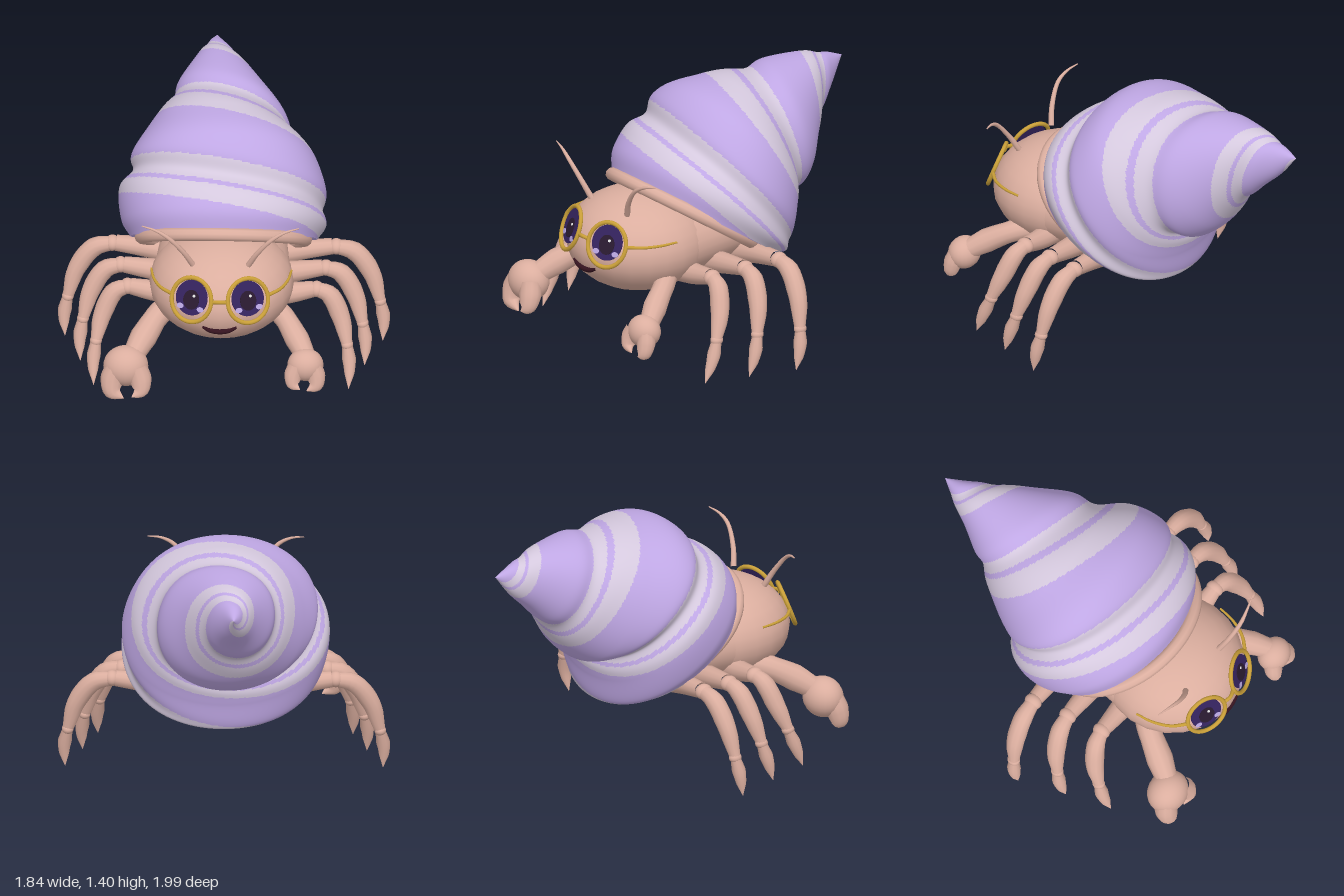
import * as THREE from 'three';

const V = (x, y, z) => new THREE.Vector3(x, y, z);
const mat = (name, color, side = THREE.FrontSide) => {
  const m = new THREE.MeshStandardMaterial({ color, side });
  m.name = name;
  return m;
};

export function createModel() {
  const skin = mat('skin', 0xdbae9f);
  const purple = mat('shellPurple', 0xbfa7e4, THREE.DoubleSide);
  const pale = mat('shellPale', 0xd4c8dd, THREE.DoubleSide);
  const gold = mat('gold', 0xc99f38);
  const eyePurple = mat('eyePurple', 0x35235f);
  const pupilDark = mat('pupilDark', 0x2a1a30);
  const eyeLight = mat('eyeLight', 0xb9a6e0);
  const white = mat('white', 0xffffff);
  const mouthDark = mat('mouthDark', 0x35131f);

  const model = new THREE.Group();
  const add = (name, geo, material, parent = model) => {
    const mesh = new THREE.Mesh(geo, material);
    mesh.name = name;
    parent.add(mesh);
    return mesh;
  };
  // Tube through points whose radius follows a list along its length
  const limb = (points, radii, sides = 12, steps = 16) => {
    const curve = new THREE.CatmullRomCurve3(points);
    const geo = new THREE.TubeGeometry(curve, steps, 1, sides);
    const pos = geo.attributes.position, p = V();
    for (let i = 0; i < pos.count; i++) {
      const t = Math.floor(i / (sides + 1)) / steps;
      const f = t * (radii.length - 1), k = Math.min(Math.floor(f), radii.length - 2);
      const r = THREE.MathUtils.lerp(radii[k], radii[k + 1], f - k);
      const c = curve.getPointAt(t);
      p.fromBufferAttribute(pos, i).sub(c).multiplyScalar(r).add(c);
      pos.setXYZ(i, p.x, p.y, p.z);
    }
    return geo;
  };
  const ball = (name, c, r, material, parent) => {
    const m = add(name, new THREE.SphereGeometry(1, 24, 16), material, parent);
    m.position.copy(c);
    m.scale.copy(r);
    return m;
  };

  // Shell: tilted oval sections from rim to tip, with a spiral groove and stripes
  // top z, top y, bottom z, bottom y, half width, centre x, turns
  const sections = [
    [0.51, 0.94, -0.28, 0.39, 0.52, 0, 0.43],
    [0.47, 1.08, -0.335, 0.405, 0.57, 0, 0.63],
    [0.31, 1.22, -0.365, 0.55, 0.575, -0.01, 1.0],
    [0.12, 1.375, -0.40, 0.65, 0.515, -0.01, 1.45],
    [-0.12, 1.4, -0.48, 0.68, 0.43, -0.02, 1.75],
    [-0.35, 1.4, -0.57, 0.76, 0.345, -0.02, 2.04],
    [-0.55, 1.4, -0.66, 0.89, 0.25, -0.04, 2.4],
    [-0.75, 1.38, -0.78, 1.04, 0.145, -0.055, 2.8],
    [-0.88, 1.34, -0.90, 1.16, 0.07, -0.07, 3.15],
    [-1.0, 1.29, -1.0, 1.29, 0, -0.07, 3.5],
  ];
  const track = f => new THREE.CatmullRomCurve3(sections.map(f), false, 'catmullrom', 0.5);
  const topLine = track(s => V(0, s[1], s[0]));
  const lowLine = track(s => V(0, s[3], s[2]));
  const widthLine = track(s => V(s[4], s[5], s[6]));
  const NS = 260, NT = 150, verts = [], faces = [[], []];
  for (let i = 0; i <= NS; i++) {
    const s = i / NS;
    const a = topLine.getPoint(s), b = lowLine.getPoint(s), w = widthLine.getPoint(s);
    const mid = a.clone().add(b).multiplyScalar(0.5), half = a.clone().sub(b).multiplyScalar(0.5);
    const paleEnd = THREE.MathUtils.lerp(0.14, 0.03, THREE.MathUtils.smoothstep(s, 0.25, 0.55));
    for (let j = 0; j < NT; j++) {
      const th = j / NT * Math.PI * 2, phase = w.z + j / NT;
      const d = phase - Math.round(phase);
      const groove = 0.09 * THREE.MathUtils.smoothstep(s, 0.08, 0.22) * Math.exp(-((d / 0.13) ** 2));
      const m = 1 + 0.02 * Math.sin(2 * th) ** 2 - groove;
      const c = Math.cos(th) * m;
      verts.push(w.y + Math.sin(th) * w.x * m, mid.y + half.y * c, mid.z + half.z * c);
      if (i === NS) continue;
      const f = phase - Math.floor(phase);
      const isPale = f < paleEnd || (f > 0.67 && f < 0.85) || f > 0.9;
      const p = i * NT + j, q = i * NT + (j + 1) % NT;
      faces[isPale ? 1 : 0].push(p, q, p + NT, q, q + NT, p + NT);
    }
  }
  const shellGeo = new THREE.BufferGeometry();
  shellGeo.setAttribute('position', new THREE.Float32BufferAttribute(verts, 3));
  shellGeo.setIndex([...faces[0], ...faces[1]]);
  shellGeo.addGroup(0, faces[0].length, 0);
  shellGeo.addGroup(faces[0].length, faces[1].length, 1);
  shellGeo.computeVertexNormals();
  add('shell', shellGeo, [purple, pale]);

  // Shell opening: closing disc and rounded collar
  const opening = add('shellOpening', new THREE.CircleGeometry(1, 48), purple);
  opening.position.set(0, 0.665, 0.115);
  opening.rotation.x = 0.96;
  opening.scale.set(0.52, 0.48, 1);
  const collarPts = [];
  for (let i = 0; i < 24; i++) {
    const a = i / 24 * Math.PI * 2;
    collarPts.push(V(0.455 * Math.cos(a), 0.71 + 0.24 * Math.sin(a), 0.195 + 0.345 * Math.sin(a)));
  }
  add('shellCollar', new THREE.TubeGeometry(new THREE.CatmullRomCurve3(collarPts, true), 64, 0.037, 10, true), skin);

  // Head and rear body
  ball('head', V(0, 0.635, 0.52), V(0.4, 0.28, 0.4), skin);
  const body = add('body', new THREE.CylinderGeometry(0.385, 0.33, 0.62, 32), skin);
  body.rotation.x = Math.PI / 2;
  body.scale.z = 0.66;
  body.position.set(0, 0.635, 0.18);

  for (const side of [1, -1]) {
    const tag = side > 0 ? 'left' : 'right';
    const P = (x, y, z) => V(side * x, y, z);

    // Three walking legs, rear to front
    [[0.02, 0.09, 1], [0.22, 0.15, 0.84], [0.42, 0.2, 0.7]].forEach(([z, lean, k], i) => {
      const leg = new THREE.Group();
      leg.name = tag + 'Leg' + (i + 1);
      model.add(leg);
      const L = (x, y, t) => P(0.3 + (x - 0.3) * k, y, z + lean * t);
      const dy = 0.015 * i;
      add('upperLeg', limb([L(0.2, 0.49, 0), L(0.42, 0.535 - dy, 0), L(0.6, 0.56 - dy, 0)], [0.07, 0.06, 0.045]), skin, leg);
      ball('knee', L(0.62, 0.56 - dy, 0), V(0.042, 0.044, 0.05), skin, leg);
      add('middleLeg', limb([L(0.61, 0.56 - dy, 0), L(0.72, 0.535 - dy, 0.08), L(0.815, 0.41 - dy, 0.28), L(0.865, 0.24, 0.55)],
        [0.038, 0.053, 0.054, 0.046, 0.03]), skin, leg);
      ball('ankle', L(0.865, 0.24, 0.54), V(0.033, 0.03, 0.037), skin, leg);
      add('legTip', limb([L(0.865, 0.245, 0.53), L(0.885, 0.13, 0.75), L(0.88, 0.005, 1)], [0.027, 0.039, 0.028, 0.001]), skin, leg);
    });

    // Arm and claw, the right one larger
    const big = side < 0;
    const size = big ? 1 : 0.8;
    add(tag + 'Arm', limb([P(0.2, 0.49, 0.48), P(0.33, 0.48, 0.6), P(0.42, 0.41, 0.74), P(0.48, 0.34, 0.84)],
      [0.07, 0.07, 0.066, 0.075, 0.06].map(r => r * (big ? 1 : 0.9))), skin);
    const claw = new THREE.Group();
    claw.name = tag + 'Claw';
    claw.position.copy(big ? P(0.52, 0.29, 0.88) : P(0.475, 0.31, 0.87));
    claw.scale.setScalar(size);
    model.add(claw);
    ball('palm', V(0, 0.005, -0.005), V(0.125, 0.115, 0.11), skin, claw);
    add('outerFinger', limb([P(0.05, 0.02, 0.02), P(0.075, -0.06, 0.04), P(0.07, -0.125, 0.055), P(0.01, -0.17, 0.06)],
      [0.06, 0.066, 0.052, 0.002]), skin, claw);
    add('innerFinger', limb([P(-0.06, 0.02, 0.03), P(-0.085, -0.06, 0.055), P(-0.08, -0.115, 0.07), P(-0.035, -0.15, 0.08)],
      [0.06, 0.064, 0.048, 0.002]), skin, claw);

    // Antenna
    add(tag + 'Antenna', limb([P(0.155, 0.87, 0.725), P(0.205, 0.965, 0.755), P(0.29, 1.07, 0.775), P(0.36, 1.11, 0.765), P(0.435, 1.125, 0.745)],
      [0.017, 0.014, 0.011, 0.003], 8, 20), skin);

    // Eye plates and lens rim lying on the face
    const eye = new THREE.Group();
    eye.name = tag + 'Eye';
    eye.position.set(side * 0.153, 0.725, 0.862);
    eye.rotation.set(-0.36, side * 0.38, 0, 'YXZ');
    model.add(eye);
    const plate = (name, x, y, z, rx, ry, material) => {
      const m = add(name, new THREE.CylinderGeometry(1, 1, 0.006, 32), material, eye);
      m.geometry.rotateX(Math.PI / 2);
      m.scale.set(rx, ry, 1);
      m.position.set(x, y, z);
    };
    plate('iris', 0, 0.012, 0.009, 0.094, 0.1, eyePurple);
    plate('irisGlowOuter', -0.06, -0.045, 0.011, 0.02, 0.015, eyeLight);
    plate('irisGlowInner', 0.06, -0.045, 0.011, 0.02, 0.015, eyeLight);
    plate('pupil', 0, 0.0, 0.013, 0.047, 0.056, pupilDark);
    plate('glint', 0.015, 0.025, 0.017, 0.008, 0.008, white);
    const rim = add('lensRim', new THREE.TorusGeometry(0.118, 0.012, 10, 40), gold, eye);
    rim.scale.y = 1.06;
    rim.position.z = 0.01;

    // Side arm of the glasses
    add(tag + 'GlassesArm', limb([P(0.262, 0.735, 0.825), P(0.33, 0.735, 0.755), P(0.372, 0.735, 0.66), P(0.388, 0.735, 0.56)],
      [0.011, 0.009, 0.008, 0.006], 8), gold);
  }

  // Bridge of the glasses
  add('glassesBridge', limb([V(-0.045, 0.735, 0.905), V(0, 0.743, 0.918), V(0.045, 0.735, 0.905)], [0.011, 0.011], 8), gold);

  // Mouth
  add('mouth', limb([V(-0.095, 0.57, 0.898), V(-0.055, 0.551, 0.904), V(0, 0.544, 0.906), V(0.055, 0.551, 0.904), V(0.095, 0.57, 0.898)],
    [0.007, 0.013, 0.015, 0.013, 0.007], 10, 24), mouthDark);

  return model;
}
